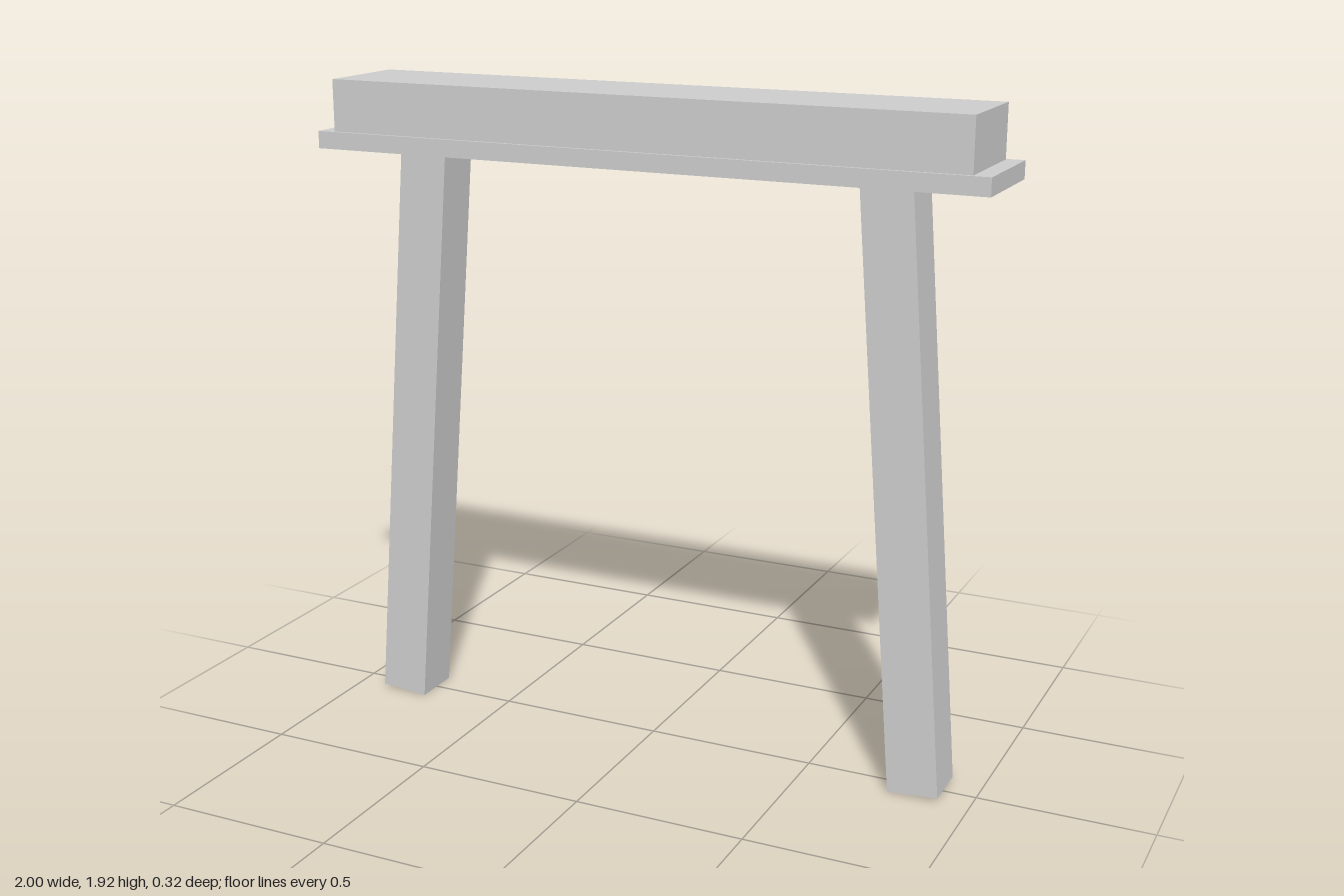
import * as THREE from 'three';

export function createModel() {
  const group = new THREE.Group();
  const material = new THREE.MeshStandardMaterial({ color: 0xcccccc, flatShading: true });

  const addBox = (name, w, h, d, x, y) => {
    const mesh = new THREE.Mesh(new THREE.BoxGeometry(w, h, d), material);
    mesh.name = name;
    mesh.position.set(x, y, 0);
    group.add(mesh);
    return mesh;
  };

  // Top beam resting on a slightly wider board
  addBox('topBeam', 1.9, 0.15, 0.298, 0, 1.841);
  addBox('baseBoard', 2, 0.05, 0.318, 0, 1.741);

  // Two square legs splayed outward, their tops sunk into the board
  const tilt = 0.0795, length = 1.735, thickness = 0.147;
  const footX = 0.836, footY = Math.sin(tilt) * thickness / 2;
  for (const [name, side] of [['leftLeg', 1], ['rightLeg', -1]]) {
    const leg = addBox(name, thickness, length, thickness,
      side * (footX - Math.sin(tilt) * length / 2),
      footY + Math.cos(tilt) * length / 2);
    leg.rotation.z = side * tilt;
  }

  return group;
}
